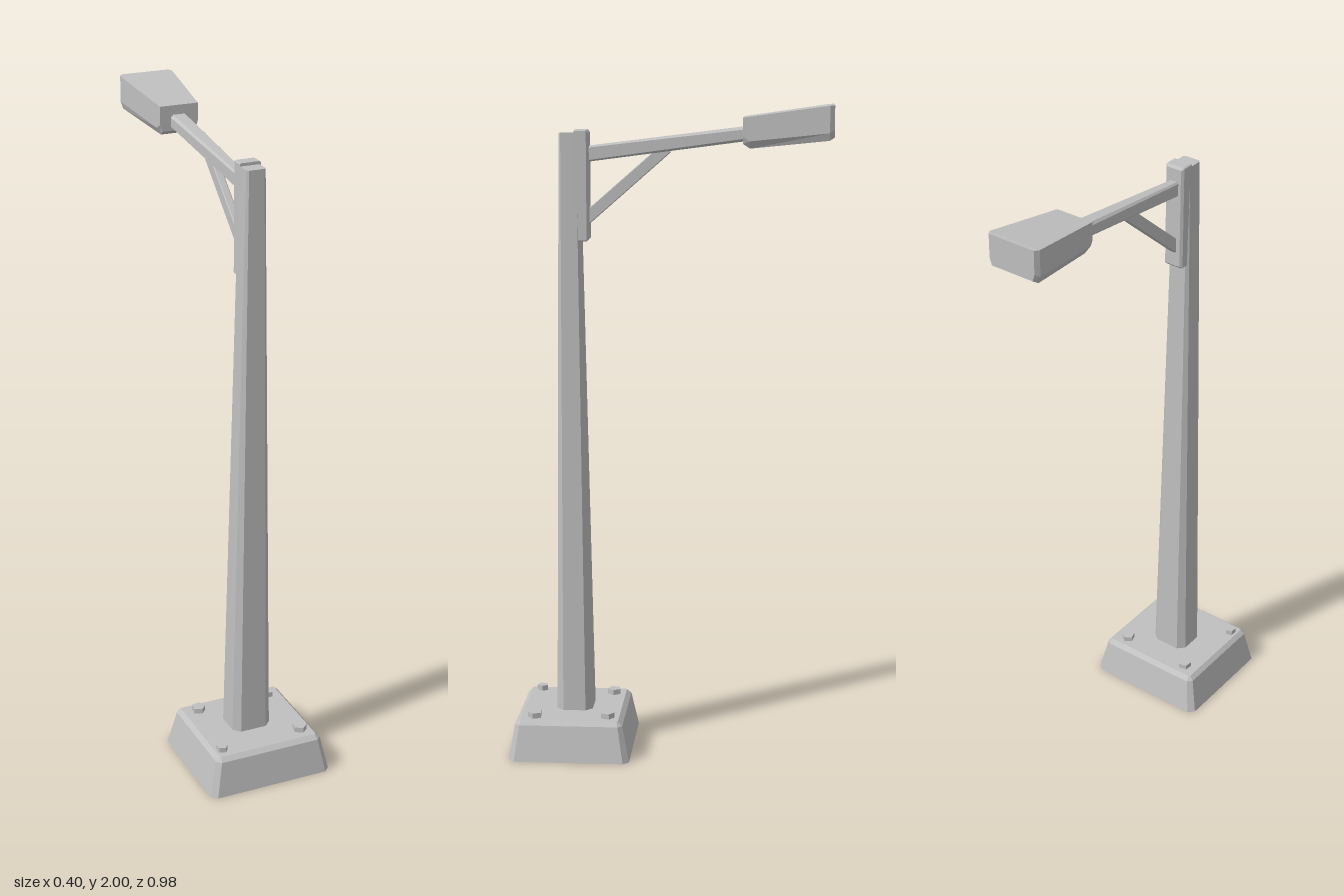
import * as THREE from 'three';

const metal = new THREE.MeshStandardMaterial({ color: 0xc0c0c0, flatShading: true, side: THREE.DoubleSide });
metal.name = 'grey metal';

// Chamfered rectangle as eight [u, v] corners
function octagon(u0, u1, v0, v1, c) {
  return [[u1, v0 + c], [u1, v1 - c], [u1 - c, v1], [u0 + c, v1],
    [u0, v1 - c], [u0, v0 + c], [u0 + c, v0], [u1 - c, v0]];
}
// Section lying flat at height y, and section standing at depth z
const flat = (y, x0, x1, z0, z1, c) => octagon(x0, x1, z0, z1, c).map(([u, v]) => [u, y, v]);
const upright = (z, hw, y0, y1, c) => octagon(-hw, hw, y0, y1, c).map(([u, v]) => [u, v, z]);

// Skin over successive sections (running +y or -z) with optional end caps
function loft(name, rings, capStart = true, capEnd = true) {
  const n = rings[0].length, index = [];
  for (let i = 0; i < rings.length - 1; i++) {
    for (let j = 0; j < n; j++) {
      const a = i * n + j, b = i * n + (j + 1) % n;
      index.push(a, b + n, b, a, a + n, b + n);
    }
  }
  const last = (rings.length - 1) * n;
  for (let k = 1; k < n - 1; k++) {
    if (capStart) index.push(0, k, k + 1);
    if (capEnd) index.push(last, last + k + 1, last + k);
  }
  const geometry = new THREE.BufferGeometry();
  geometry.setAttribute('position', new THREE.Float32BufferAttribute(rings.flat(2), 3));
  geometry.setIndex(index);
  geometry.computeVertexNormals();
  const mesh = new THREE.Mesh(geometry, metal);
  mesh.name = name;
  return mesh;
}

export function createModel() {
  const model = new THREE.Group();
  model.name = 'streetLamp';

  // Hollow foot, open underneath
  model.add(loft('base', [
    flat(0, -0.201, 0.199, 0.115, 0.489, 0.018),
    flat(0.11, -0.176, 0.175, 0.137, 0.47, 0.014),
    flat(0.123, -0.163, 0.162, 0.151, 0.456, 0.004),
  ], false, true));

  // Pentagonal bolts: x, z, radius, turn
  [[-0.117, 0.187, 0.022, 0.2], [0.12, 0.187, 0.022, 0.6],
    [-0.14, 0.422, 0.018, 0.3], [0.127, 0.412, 0.023, 0.1]].forEach(([x, z, r, turn]) => {
    const bolt = new THREE.Mesh(new THREE.CylinderGeometry(r, r, 0.035, 5), metal);
    bolt.position.set(x, 0.122, z);
    bolt.rotation.y = turn;
    bolt.name = 'bolt';
    model.add(bolt);
  });

  // Tapered pole
  model.add(loft('pole', [
    flat(0.1, -0.066, 0.06, 0.241, 0.353, 0.021),
    flat(1.915, -0.031, 0.028, 0.274, 0.333, 0.006),
  ]));

  // Mounting plate behind the pole top
  model.add(loft('mountPlate', [
    upright(0.287, 0.032, 1.592, 1.924, 0.003),
    upright(0.25, 0.032, 1.592, 1.924, 0.003),
    upright(0.243, 0.025, 1.599, 1.917, 0.003),
  ]));

  // Arm rising to the lamp, widening outward
  model.add(loft('arm', [
    upright(0.25, 0.016, 1.829, 1.876, 0.005),
    upright(-0.24, 0.027, 1.894, 1.937, 0.008),
  ]));

  // Diagonal brace
  model.add(loft('brace', [
    upright(0.25, 0.012, 1.637, 1.686, 0.003),
    upright(0, 0.012, 1.856, 1.904, 0.003),
  ]));

  // Lamp head: wider at the far end, narrower below
  const headSection = (z, top, bottom, y0, y1) => [
    [bottom, y0, z], [top, y0 + 0.022, z], [top, y1, z],
    [-top, y1, z], [-top, y0 + 0.022, z], [-bottom, y0, z],
  ];
  model.add(loft('lampHead', [
    headSection(-0.219, 0.061, 0.054, 1.886, 1.963),
    headSection(-0.24, 0.063, 0.05, 1.872, 1.966),
    headSection(-0.475, 0.086, 0.078, 1.897, 1.999),
    headSection(-0.489, 0.077, 0.07, 1.906, 2.0),
  ]));

  return model;
}
